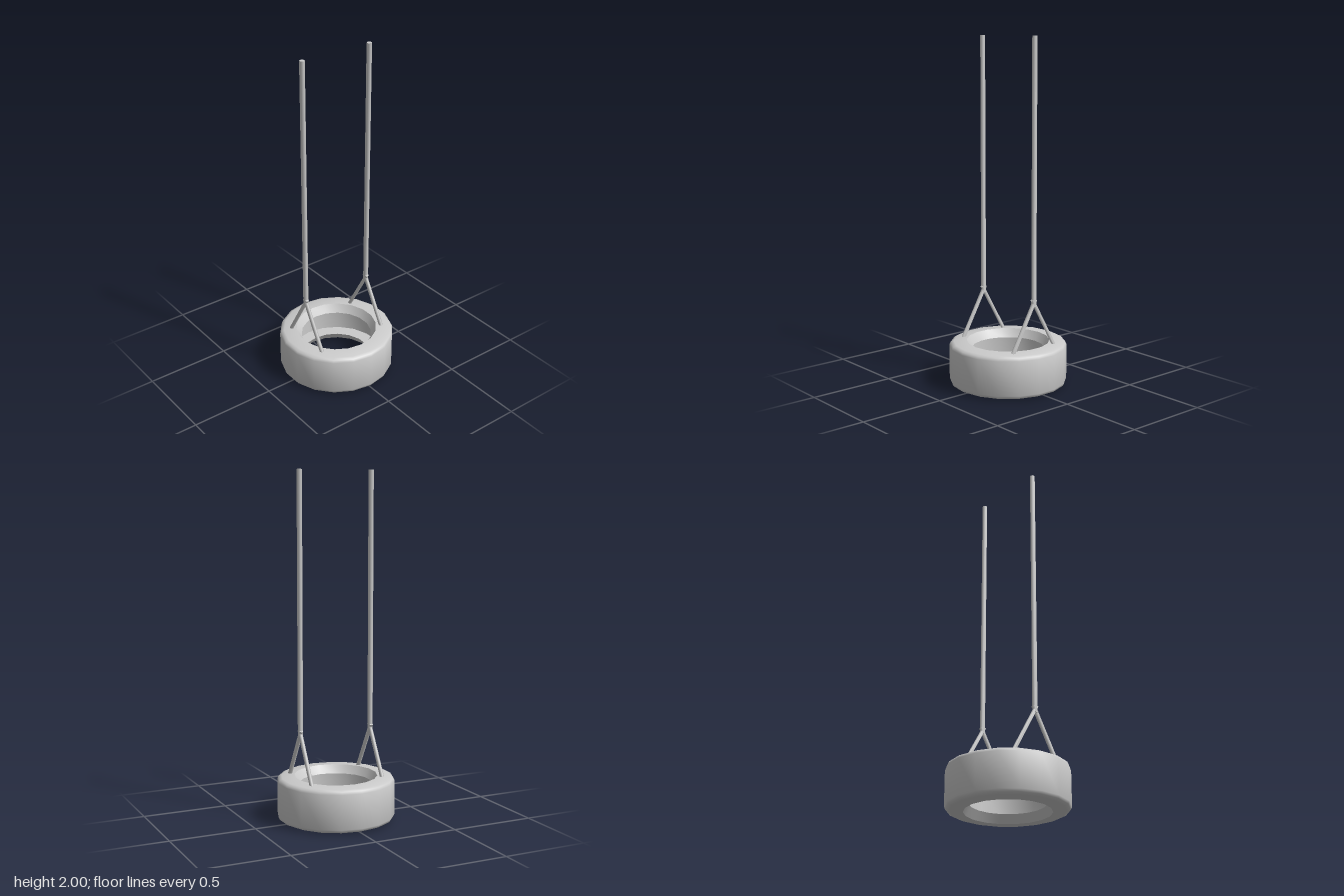
import * as THREE from 'three';
import { toCreasedNormals } from 'three/addons/utils/BufferGeometryUtils.js';

const material = new THREE.MeshStandardMaterial({ color: 0xcccccc });

// Six-sided rope running between two points
function rope(name, from, to, radius) {
  const a = new THREE.Vector3(...from);
  const b = new THREE.Vector3(...to);
  const geometry = new THREE.CylinderGeometry(radius, radius, a.distanceTo(b), 6);
  geometry.rotateY(Math.PI / 2);
  const mesh = new THREE.Mesh(toCreasedNormals(geometry, 1.2), material);
  mesh.name = name;
  mesh.position.copy(a).lerp(b, 0.5);
  mesh.quaternion.setFromUnitVectors(new THREE.Vector3(0, 1, 0), b.sub(a).normalize());
  return mesh;
}

// Hollow tyre: upper half of the section, mirrored about its middle height
function tyre() {
  const middle = 0.13;
  const upper = [
    [0.34, 0.1], [0.333, 0.115], [0.315, 0.123], [0.24, 0.128], // tread, shoulder, sidewall
    [0.21, 0.08], // bead
    [0.285, 0.08], // hollow inside
  ];
  const lower = upper.map(([r, y]) => [r, -y]).reverse();
  const section = [...upper, ...lower, upper[0]];
  const points = section.map(([r, y]) => new THREE.Vector2(r, middle + y));
  const geometry = new THREE.LatheGeometry(points, 18, Math.PI / 2);
  const mesh = new THREE.Mesh(toCreasedNormals(geometry, 0.9), material);
  mesh.name = 'tyre';
  return mesh;
}

export function createModel() {
  const model = new THREE.Group();
  model.name = 'tyreSwing';
  model.add(tyre());

  // One hanging rope with two splayed legs on the front and back
  for (const [side, z] of [['front', 0.222], ['back', -0.222]]) {
    const hanger = new THREE.Group();
    hanger.name = side + 'Hanger';
    hanger.add(rope('hangingRope', [0, 0.5, z], [0, 2, z], 0.015));
    for (const [label, s] of [['left', 1], ['right', -1]]) {
      hanger.add(rope(label + 'Leg', [s * 0.158, 0.243, z], [s * -0.011, 0.538, z], 0.012));
    }
    model.add(hanger);
  }
  return model;
}
